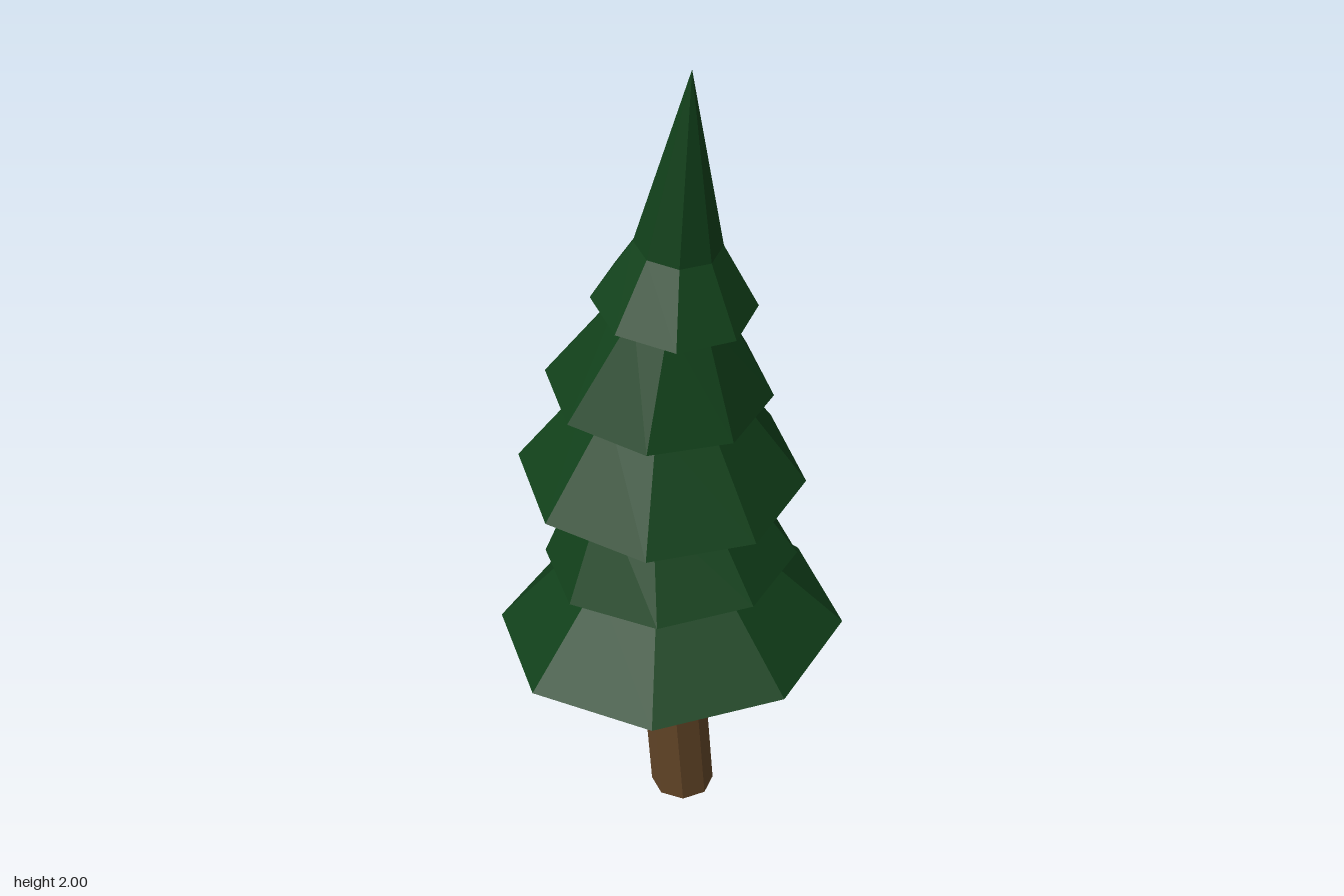
import * as THREE from 'three';

const SIDES = 8;

// Skins a stack of rings: [centreX, centreY, centreZ, radius, slope along x, turn].
// A radius of 0 closes the skin to a point.
function skinRings(rings) {
  const corner = ([cx, cy, cz, r, slope, turn], i) => {
    const a = turn + (i % SIDES) * Math.PI * 2 / SIDES;
    const dx = r * Math.cos(a);
    return [cx + dx, cy + slope * dx, cz + r * Math.sin(a)];
  };
  const pos = [];
  for (let k = 0; k < rings.length - 1; k++) {
    const low = rings[k], high = rings[k + 1];
    for (let i = 0; i < SIDES; i++) {
      if (high[3] > 0) pos.push(...corner(low, i), ...corner(high, i), ...corner(high, i + 1));
      if (low[3] > 0) pos.push(...corner(low, i), ...corner(high, i + 1), ...corner(low, i + 1));
    }
  }
  const geo = new THREE.BufferGeometry();
  geo.setAttribute('position', new THREE.Float32BufferAttribute(pos, 3));
  geo.computeVertexNormals();
  return geo;
}

function part(name, color, rings) {
  const mat = new THREE.MeshStandardMaterial({ color, flatShading: true });
  const mesh = new THREE.Mesh(skinRings(rings), mat);
  mesh.name = name;
  return mesh;
}

export function createModel() {
  const tree = new THREE.Group();
  tree.name = 'pineTree';

  // Slightly bent, tapering trunk
  tree.add(part('trunk', 0x644628, [
    [0.04, 0, 0, 0, 0, 0],
    [0.04, 0, -0.002, 0.077, 0, 0],
    [0.04, 0.28, 0.023, 0.076, 0, 0],
    [0.04, 0.53, 0.006, 0.056, 0, 0],
    [0.04, 0.53, 0.006, 0, 0, 0],
  ]));

  // Foliage: wide rims alternate with narrow necks, each tilted a little
  const t = 0.122;
  tree.add(part('foliage', 0x11401a, [
    [0, 0.513, 0, 0, 0, t],
    [0, 0.513, 0, 0.413, 0.08, t],          // bottom skirt
    [-0.015, 0.728, 0, 0.205, 0.09, t],
    [0, 0.722, 0, 0.298, 0.09, t],          // second tier
    [-0.03, 0.955, 0, 0.17, -0.05, t],
    [-0.028, 0.955, 0, 0.333, -0.05, t],    // third tier
    [-0.02, 1.193, 0, 0.16, -0.08, t],
    [-0.035, 1.19, 0, 0.258, -0.08, t],     // fourth tier
    [0, 1.435, 0, 0.108, -0.09, t / 2],
    [0.012, 1.428, 0, 0.183, -0.1, 0],      // fifth tier
    [0.012, 1.57, -0.012, 0.097, -0.1, 0],
    [0.06, 2, 0, 0, 0, 0],                  // leaning tip
  ]));

  return tree;
}
